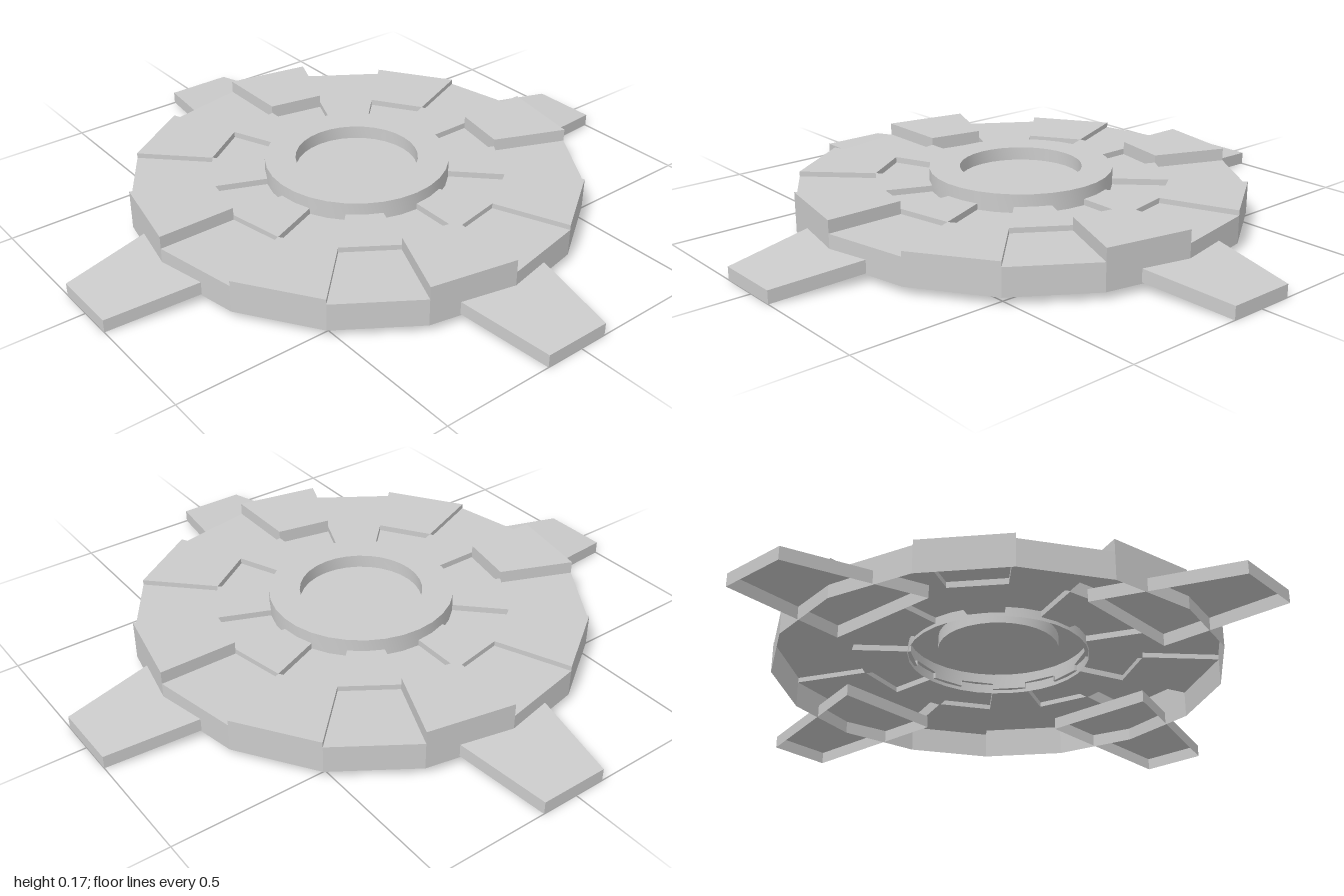
import * as THREE from 'three';
import { toCreasedNormals } from 'three/addons/utils/BufferGeometryUtils.js';

const material = new THREE.MeshStandardMaterial({ color: 0xcccccc, side: THREE.DoubleSide });
const flatMaterial = new THREE.MeshStandardMaterial({ color: 0xcccccc, side: THREE.DoubleSide, flatShading: true });

// Turns a list of quads (four [x, y, z] corners, counter-clockwise from outside) into a mesh
function quadMesh(name, quads) {
  const pos = [];
  for (const [a, b, c, d] of quads) pos.push(...a, ...b, ...c, ...a, ...c, ...d);
  const geo = new THREE.BufferGeometry();
  geo.setAttribute('position', new THREE.Float32BufferAttribute(pos, 3));
  geo.computeVertexNormals();
  const mesh = new THREE.Mesh(geo, flatMaterial);
  mesh.name = name;
  return mesh;
}

const SECTORS = 16;
const R_HUB = 0.29, R_MID = 0.483, R_RIM = 0.74, RIM_BOTTOM = 0.025;
// Plate heights repeat every quarter turn
const outerHeight = i => [0.157, 0.115, 0.132, 0.115][(i + SECTORS) % 4];
const innerHeight = i => [0.112, 0.132, 0.112, 0.132][(i + SECTORS) % 4];

const polar = (r, i, y) => {
  const a = i * Math.PI * 2 / SECTORS;
  return [r * Math.cos(a), y, r * Math.sin(a)];
};

// Flat plate of one sector between two radii
const plate = (r0, r1, i, y) =>
  [polar(r0, i, y), polar(r0, i + 1, y), polar(r1, i + 1, y), polar(r1, i, y)];

// Radial step between sector i - 1 and sector i
function radialStep(r0, r1, i, before, after) {
  const q = [polar(r0, i, before), polar(r1, i, before), polar(r1, i, after), polar(r0, i, after)];
  return q;
}

// Wall along the rim of one sector, facing outwards
const ringWall = (r, i, low, high) =>
  [polar(r, i + 1, low), polar(r, i, low), polar(r, i, high), polar(r, i + 1, high)];

function createPlates() {
  const outer = [], inner = [], rim = [];
  for (let i = 0; i < SECTORS; i++) {
    const ho = outerHeight(i), hi = innerHeight(i);
    outer.push(plate(R_MID, R_RIM, i, ho));
    outer.push(radialStep(R_MID, R_RIM, i, outerHeight(i - 1), ho));
    inner.push(plate(R_HUB, R_MID, i, hi));
    inner.push(radialStep(R_HUB, R_MID, i, innerHeight(i - 1), hi));
    inner.push(ringWall(R_MID, i, ho, hi));
    rim.push(ringWall(R_RIM, i, RIM_BOTTOM, ho));
  }
  return [quadMesh('outerPlates', outer), quadMesh('innerPlates', inner), quadMesh('rimWall', rim)];
}

// Raised round hub with a recessed centre
function createHub() {
  const profile = [[0.3, 0.1], [0.3, 0.172], [0.2, 0.172], [0.2, 0.128], [0, 0.128]]
    .map(([x, y]) => new THREE.Vector2(x, y));
  const hub = new THREE.Mesh(toCreasedNormals(new THREE.LatheGeometry(profile, 32), 0.6), material);
  hub.name = 'hub';
  return hub;
}

// Tapered sloping arm pointing along +x, open underneath
function createArm(offset) {
  const section = (x, halfWidth, low, high) => [
    [x, low, offset - halfWidth], [x, high, offset - halfWidth],
    [x, high, offset + halfWidth], [x, low, offset + halfWidth]];
  const a = section(0.52, 0.197, 0.048, 0.09);
  const b = section(1, 0.113, 0, 0.042);
  const quads = [[...a].reverse(), b];
  for (let k = 0; k < 3; k++) quads.push([a[k], a[k + 1], b[k + 1], b[k]]);
  return quadMesh('arm', quads);
}

export function createModel() {
  const model = new THREE.Group();
  model.name = 'segmentedDisc';
  model.add(...createPlates(), createHub());
  // Four arms, a quarter turn apart
  [0.018, 0, 0.01, 0].forEach((offset, k) => {
    const arm = createArm(offset);
    arm.rotation.y = k * Math.PI / 2;
    model.add(arm);
  });
  return model;
}
